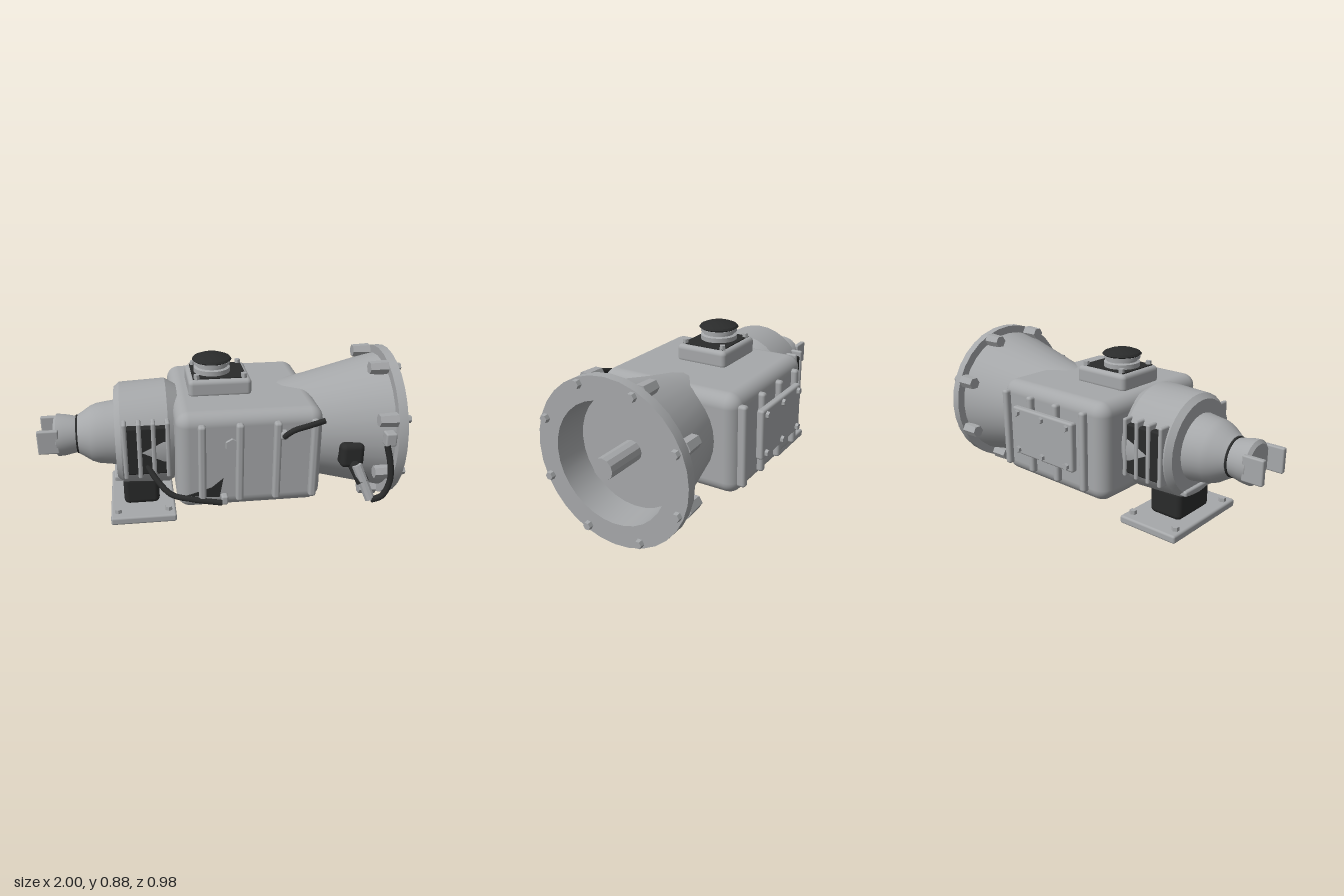
import * as THREE from 'three';
import { toCreasedNormals } from 'three/addons/utils/BufferGeometryUtils.js';
import { RoundedBoxGeometry } from 'three/addons/geometries/RoundedBoxGeometry.js';

const AXIS_Y = 0.44; // height of the shaft line

export function createModel() {
  const model = new THREE.Group();
  const metal = new THREE.MeshStandardMaterial({ color: 0xa6a8aa });
  metal.name = 'cast metal';
  const rubber = new THREE.MeshStandardMaterial({ color: 0x2a2b2b });
  rubber.name = 'black rubber';

  const add = (name, geometry, material, x = 0, y = 0, z = 0, parent = model) => {
    const mesh = new THREE.Mesh(geometry, material);
    mesh.name = name;
    mesh.position.set(x, y, z);
    parent.add(mesh);
    return mesh;
  };
  const group = (name) => {
    const g = new THREE.Group();
    g.name = name;
    model.add(g);
    return g;
  };
  const crease = (g) => toCreasedNormals(g, 0.5);
  const box = (w, h, d, r = 0.01, s = 2) => new RoundedBoxGeometry(w, h, d, s, r);
  // Profile of [x, radius] pairs turned about the shaft line
  const turned = (points, segments = 32) => {
    const g = new THREE.LatheGeometry(points.map(([x, r]) => new THREE.Vector2(r, x)), segments);
    return crease(g.rotateZ(-Math.PI / 2));
  };
  const hex = (r, h) => crease(new THREE.CylinderGeometry(r * 0.88, r, h, 6));
  const tube = (pts, r) => new THREE.TubeGeometry(
    new THREE.CatmullRomCurve3(pts.map((p) => new THREE.Vector3(...p))), 24, r, 8);
  const rod = (name, a, b, r, material, parent) => {
    const from = new THREE.Vector3(...a), to = new THREE.Vector3(...b);
    const dir = to.clone().sub(from);
    const mid = from.add(to).multiplyScalar(0.5);
    const m = add(name, crease(new THREE.CylinderGeometry(r, r, dir.length(), 10)), material,
      mid.x, mid.y, mid.z, parent);
    m.quaternion.setFromUnitVectors(new THREE.Vector3(0, 1, 0), dir.normalize());
    return m;
  };

  // Main case with vertical ribs on both sides
  add('mainCase', box(0.77, 0.54, 0.82, 0.07, 4), metal, 0.115, 0.42, 0);
  const ribs = group('caseRibs');
  for (const side of [-1, 1]) {
    for (const x of [-0.14, 0.055, 0.25, 0.445]) {
      add('caseRib', box(0.04, 0.44, 0.06, 0.015), metal, x, 0.42, side * 0.412, ribs);
    }
  }

  // Bell housing with hollow mouth and flange
  add('bellHousing', turned([
    [0.3, 0], [0.3, 0.245], [0.42, 0.27], [0.5, 0.287], [0.9, 0.385], [0.9, 0.43],
    [0.95, 0.43], [0.95, 0.313], [0.78, 0.305], [0.78, 0]]), metal, 0, AXIS_Y, 0);
  add('inputShaft', turned([[0.76, 0], [0.76, 0.055], [1, 0.055], [1, 0]], 12), metal, 0, AXIS_Y, 0);
  const bolts = group('flangeBolts');
  for (let i = 0; i < 8; i++) {
    const a = (i + 0.5) * Math.PI / 4;
    const y = AXIS_Y + 0.4 * Math.sin(a), z = 0.4 * Math.cos(a);
    add('flangeBoss', hex(0.04, 0.1), metal, 0.85, y, z, bolts).rotation.z = Math.PI / 2;
    add('flangeBolt', hex(0.024, 0.025), metal, 0.96, y, z, bolts).rotation.z = -Math.PI / 2;
  }

  // Rear housing, tail cone and yoke
  add('rearHousing', turned([
    [-0.58, 0], [-0.58, 0.255], [-0.55, 0.28], [-0.3, 0.292], [-0.24, 0.255], [-0.24, 0]]),
  metal, 0, AXIS_Y, 0);
  add('tailCone', turned([
    [-0.785, 0], [-0.785, 0.11], [-0.76, 0.125], [-0.715, 0.155], [-0.68, 0.168],
    [-0.63, 0.175], [-0.56, 0.185]]), metal, 0, AXIS_Y, 0);
  add('tailSeal', turned([[-0.795, 0], [-0.795, 0.107], [-0.78, 0.107], [-0.78, 0]]),
    rubber, 0, AXIS_Y, 0);
  add('yokeHub', turned([
    [-0.915, 0], [-0.915, 0.1], [-0.9, 0.118], [-0.86, 0.115], [-0.79, 0.1], [-0.79, 0]]),
  metal, 0, AXIS_Y, 0);
  for (const side of [-1, 1]) {
    add('yokeProng', box(0.115, 0.135, 0.03, 0.008), metal, -0.9425, 0.445, side * 0.1);
  }

  // Dark side panels behind cooling ribs
  const cooling = group('coolingRibs');
  for (const side of [-1, 1]) {
    add('ventPanel', box(0.23, 0.27, 0.06), rubber, -0.42, 0.445, side * 0.255, cooling);
    for (let i = 0; i < 4; i++) {
      add('coolingRib', box(0.024, 0.32, 0.07), metal, -0.53 + i * 0.075, 0.45, side * 0.26, cooling);
    }
  }

  // Rear mount: bracket, rubber block and foot plate
  const mount = group('rearMount');
  add('mountBracket', box(0.34, 0.03, 0.3), metal, -0.43, 0.222, 0, mount);
  add('mountBlock', box(0.2, 0.17, 0.28, 0.03, 3), rubber, -0.455, 0.13, 0, mount);
  add('footPlate', box(0.36, 0.045, 0.57, 0.012), metal, -0.45, 0.0275, 0, mount);
  for (const x of [-0.59, -0.31]) {
    for (const z of [-0.22, 0.22]) {
      add('footBolt', hex(0.022, 0.025), metal, x, 0.058, z, mount);
    }
  }

  // Breather tower on the roof
  const tower = group('breatherTower');
  add('towerBase', box(0.34, 0.1, 0.3, 0.025, 3), metal, -0.01, 0.725, 0, tower);
  add('towerGasket', new THREE.BoxGeometry(0.29, 0.008, 0.25), rubber, -0.01, 0.776, 0, tower);
  for (const x of [-0.135, 0.12]) {
    for (const z of [-0.115, 0.115]) add('towerBolt', hex(0.018, 0.03), metal, x, 0.785, z, tower);
  }
  const spin = (pts) => crease(new THREE.LatheGeometry(pts.map((p) => new THREE.Vector2(...p)), 32));
  add('breatherStem', spin([[0.1, 0.775], [0.1, 0.805], [0.085, 0.81], [0.085, 0.822],
    [0.1, 0.825], [0.1, 0.84], [0, 0.84]]), metal, -0.04, 0, 0, tower);
  add('breatherCap', spin([[0, 0.832], [0.085, 0.832], [0.108, 0.848], [0.1, 0.858],
    [0.07, 0.87], [0.035, 0.878], [0, 0.88]]), rubber, -0.04, 0, 0, tower);

  // Bolted cover on the back side
  const cover = group('sideCover');
  add('coverPlate', box(0.45, 0.27, 0.04, 0.012), metal, 0.115, 0.445, -0.455, cover);
  for (const x of [-0.07, 0.115, 0.3]) {
    for (const y of [0.34, 0.55]) {
      add('coverBolt', hex(0.02, 0.02), metal, x, y, -0.481, cover).rotation.x = -Math.PI / 2;
    }
  }

  // Drain plug and small case pad
  add('drainPlug', hex(0.04, 0.05), metal, 0.11, 0.135, 0).rotation.x = Math.PI;
  add('casePad', hex(0.04, 0.02), metal, 0.015, 0.52, 0.412).rotation.x = Math.PI / 2;

  // Dark gusset on the case front
  const wedge = new THREE.Shape([[-0.22, 0.24], [-0.05, 0.22], [-0.03, 0.33], [-0.09, 0.28]]
    .map((p) => new THREE.Vector2(...p)));
  add('frontGusset', new THREE.ExtrudeGeometry(wedge, { depth: 0.008, bevelEnabled: false }),
    rubber, 0, 0, 0.408);

  // Wiring with end fittings
  const wiring = group('wiring');
  add('lowerCable', tube([[-0.42, 0.36, 0.27], [-0.37, 0.295, 0.33], [-0.3, 0.24, 0.39],
    [-0.2, 0.225, 0.425], [-0.04, 0.207, 0.452]], 0.016), rubber, 0, 0, 0, wiring);
  add('lowerCableFitting', box(0.035, 0.05, 0.05), metal, -0.025, 0.215, 0.425, wiring);
  add('upperCable', tube([[0.275, 0.565, 0.445], [0.325, 0.61, 0.468], [0.4, 0.635, 0.475],
    [0.48, 0.65, 0.46]], 0.015), rubber, 0, 0, 0, wiring);
  add('upperCableFitting', box(0.04, 0.04, 0.05), metal, 0.28, 0.57, 0.425, wiring);

  // Clutch actuator on the bell housing
  const actuator = group('clutchActuator');
  add('actuatorBoot', box(0.13, 0.14, 0.1, 0.03, 3), rubber, 0.68, 0.385, 0.32, actuator);
  rod('actuatorArm', [0.68, 0.36, 0.33], [0.73, 0.25, 0.41], 0.035, rubber, actuator);
  rod('actuatorCylinder', [0.695, 0.345, 0.385], [0.765, 0.165, 0.445], 0.028, metal, actuator);
  add('actuatorHose', tube([[0.765, 0.165, 0.455], [0.82, 0.195, 0.468], [0.855, 0.28, 0.468],
    [0.85, 0.38, 0.465], [0.825, 0.49, 0.455]], 0.017), rubber, 0, 0, 0, actuator);
  add('hoseFitting', box(0.06, 0.075, 0.06), metal, 0.85, 0.51, 0.42, actuator);

  return model;
}
